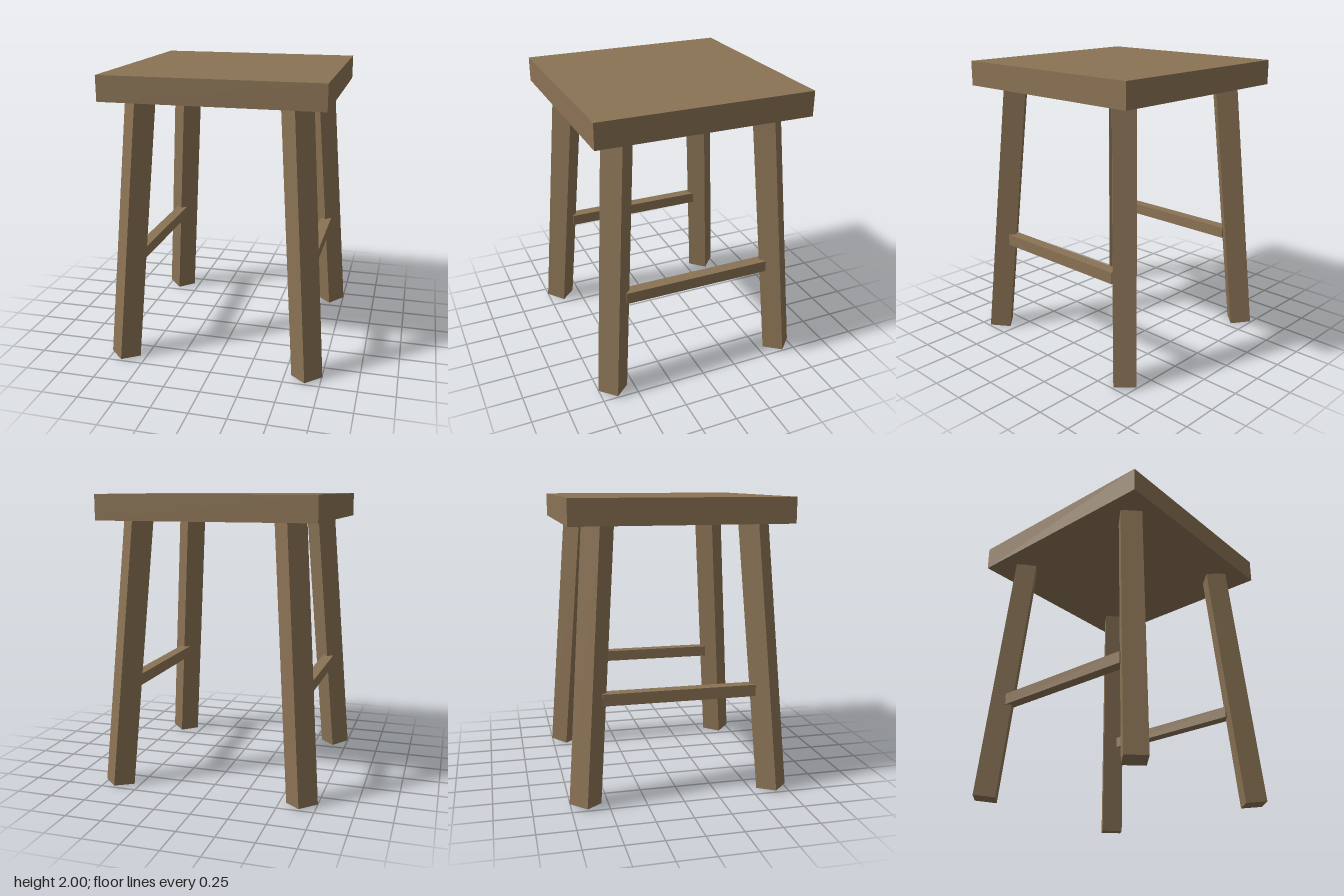
import * as THREE from 'three';

export function createModel() {
  const stool = new THREE.Group();
  stool.name = 'stool';
  const wood = new THREE.MeshStandardMaterial({ color: 0x8b7355 });

  const addBox = (name, size, position) => {
    const mesh = new THREE.Mesh(new THREE.BoxGeometry(...size), wood);
    mesh.name = name;
    mesh.position.set(...position);
    stool.add(mesh);
    return mesh;
  };

  // Square slab seat
  addBox('seat', [1.47, 0.17, 1.47], [0, 1.915, 0]);

  // Square legs, turned to face the corners and splayed outward
  const splay = 0.1;
  for (const [side, sx] of [['Left', 1], ['Right', -1]]) {
    for (const [end, sz] of [['front', 1], ['back', -1]]) {
      const leg = addBox(`${end}${side}Leg`, [0.15, 1.83, 0.15], [sx * 0.586, 0.918, sz * 0.586]);
      leg.rotation.order = 'YXZ';
      leg.rotation.set(-splay, Math.atan2(sx, sz), 0);
    }
    // Side stretcher joining the front and back legs
    addBox(`stretcher${side}`, [0.08, 0.08, 1.05], [sx * 0.6, 0.705, 0]);
  }

  return stool;
}
